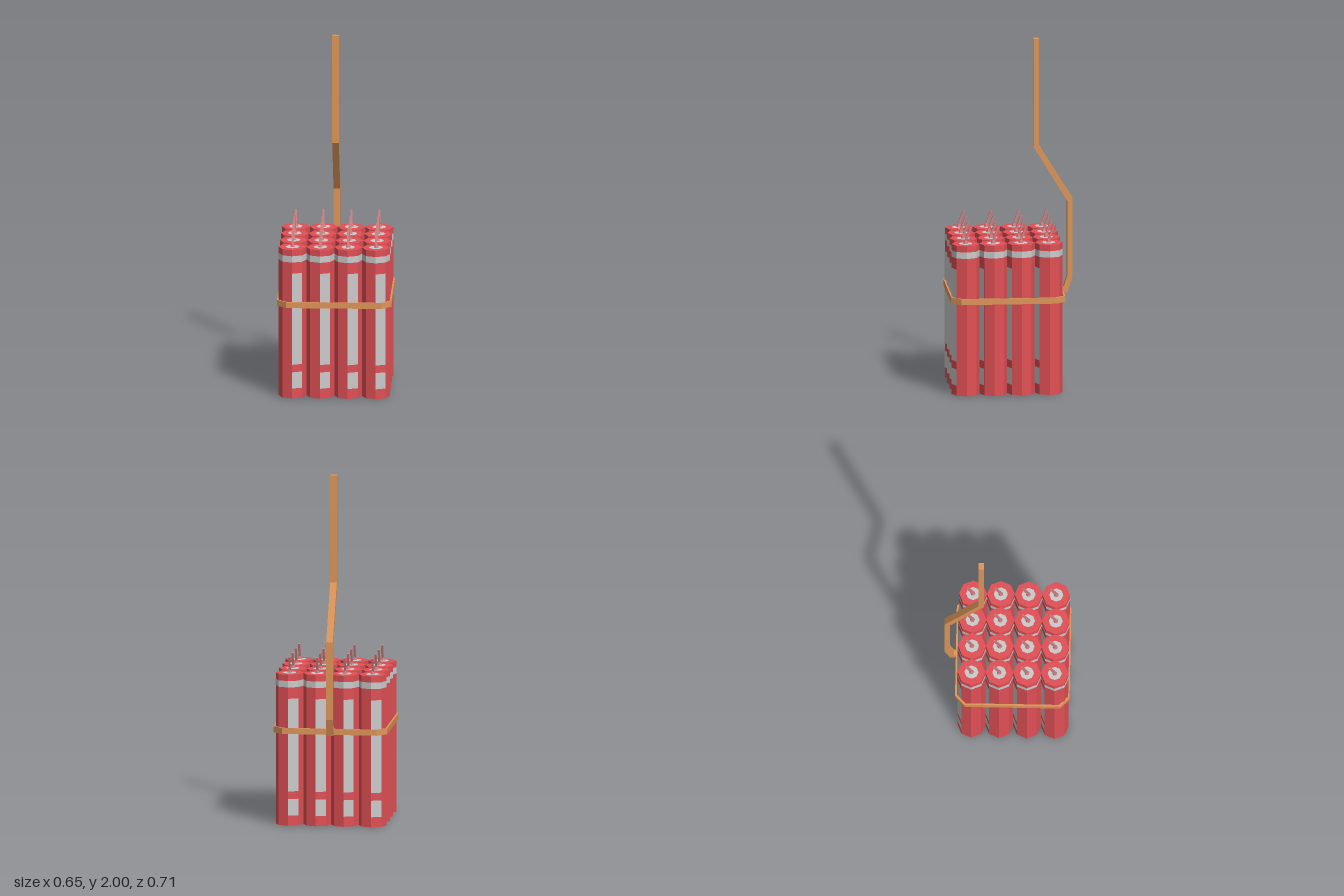
import * as THREE from 'three';

const mat = (color) => new THREE.MeshStandardMaterial({ color, flatShading: true });
const RED = mat(0xe05055), GREY = mat(0xcccccc), ROPE = mat(0xe0965a), FUSE = mat(0xd08080);
const R = 0.079, H = 0.868, SKIN = R + 0.0008;

function add(parent, name, geometry, material, x = 0, y = 0, z = 0) {
  const mesh = new THREE.Mesh(geometry, material);
  mesh.name = name;
  mesh.position.set(x, y, z);
  parent.add(mesh);
  return mesh;
}

// Open strip of the octagonal wrapper between two heights
function wrap(parent, name, y0, y1, facets, start = 0) {
  const g = new THREE.CylinderGeometry(SKIN, SKIN, y1 - y0, facets, 1, true, start, facets * Math.PI / 4);
  add(parent, name, g, GREY, 0, (y0 + y1) / 2, 0);
}

function createStick() {
  const stick = new THREE.Group();
  stick.name = 'stick';
  add(stick, 'stickBody', new THREE.CylinderGeometry(R, R, H, 8), RED, 0, H / 2, 0);
  wrap(stick, 'topBand', 0.795, 0.832, 8);
  // Paper labels on two opposite facets
  for (const start of [0, Math.PI]) {
    wrap(stick, 'label', 0.197, 0.73, 1, start);
    wrap(stick, 'lowerLabel', 0.058, 0.153, 1, start);
  }
  // End cap disc
  const cap = add(stick, 'endCap', new THREE.CircleGeometry(0.04, 8), GREY, 0, H + 0.001, 0);
  cap.rotation.x = -Math.PI / 2;
  // Fuse leaning to the back, flared at its foot
  add(stick, 'fuseFoot', new THREE.CylinderGeometry(0.008, 0.015, 0.02, 6), FUSE, 0, H + 0.01, 0);
  const fuse = add(stick, 'fuse', new THREE.CylinderGeometry(0.008, 0.009, 0.094, 4, 1, false, Math.PI / 4),
    FUSE, -0.001, H + 0.05, -0.013);
  fuse.rotation.x = -0.36;
  return stick;
}

// Rectangle with cut corners
function cutRect(path, w, d, cut) {
  const p = [[w - cut, -d], [w, -d + cut], [w, d - cut], [w - cut, d],
    [-w + cut, d], [-w, d - cut], [-w, -d + cut], [-w + cut, -d]];
  path.setFromPoints(p.map(([x, y]) => new THREE.Vector2(x, y)));
  path.closePath();
  return path;
}

export function createModel() {
  const model = new THREE.Group();
  model.name = 'stickBundle';

  // Four by four bundle
  const stick = createStick();
  for (let i = 0; i < 4; i++) {
    for (let j = 0; j < 4; j++) {
      const s = stick.clone();
      s.position.set((i - 1.5) * 0.158, 0, 0.0355 + (j - 1.5) * 0.1575);
      model.add(s);
    }
  }

  // Strap around the bundle
  const strap = cutRect(new THREE.Shape(), 0.325, 0.325, 0.054);
  strap.holes.push(cutRect(new THREE.Path(), 0.315, 0.315, 0.05));
  const strapGeo = new THREE.ExtrudeGeometry(strap, { depth: 0.034, bevelEnabled: false });
  strapGeo.rotateX(-Math.PI / 2);
  add(model, 'strap', strapGeo, ROPE, 0, 0.53, 0.0315);

  // Bent hanging rod: outline as (-z, y), extruded across x
  const outline = [[0.285, 0.53], [0.327, 0.53], [0.357, 0.625], [0.357, 1.073], [0.165, 1.385], [0.165, 2],
    [0.134, 2], [0.134, 1.375], [0.326, 1.06], [0.326, 0.63], [0.305, 0.562], [0.285, 0.562]];
  const rodGeo = new THREE.ExtrudeGeometry(
    new THREE.Shape(outline.map(([a, b]) => new THREE.Vector2(a, b))),
    { depth: 0.038, bevelEnabled: false });
  rodGeo.rotateY(Math.PI / 2);
  add(model, 'hangingRod', rodGeo, ROPE, -0.028, 0, 0);

  return model;
}
